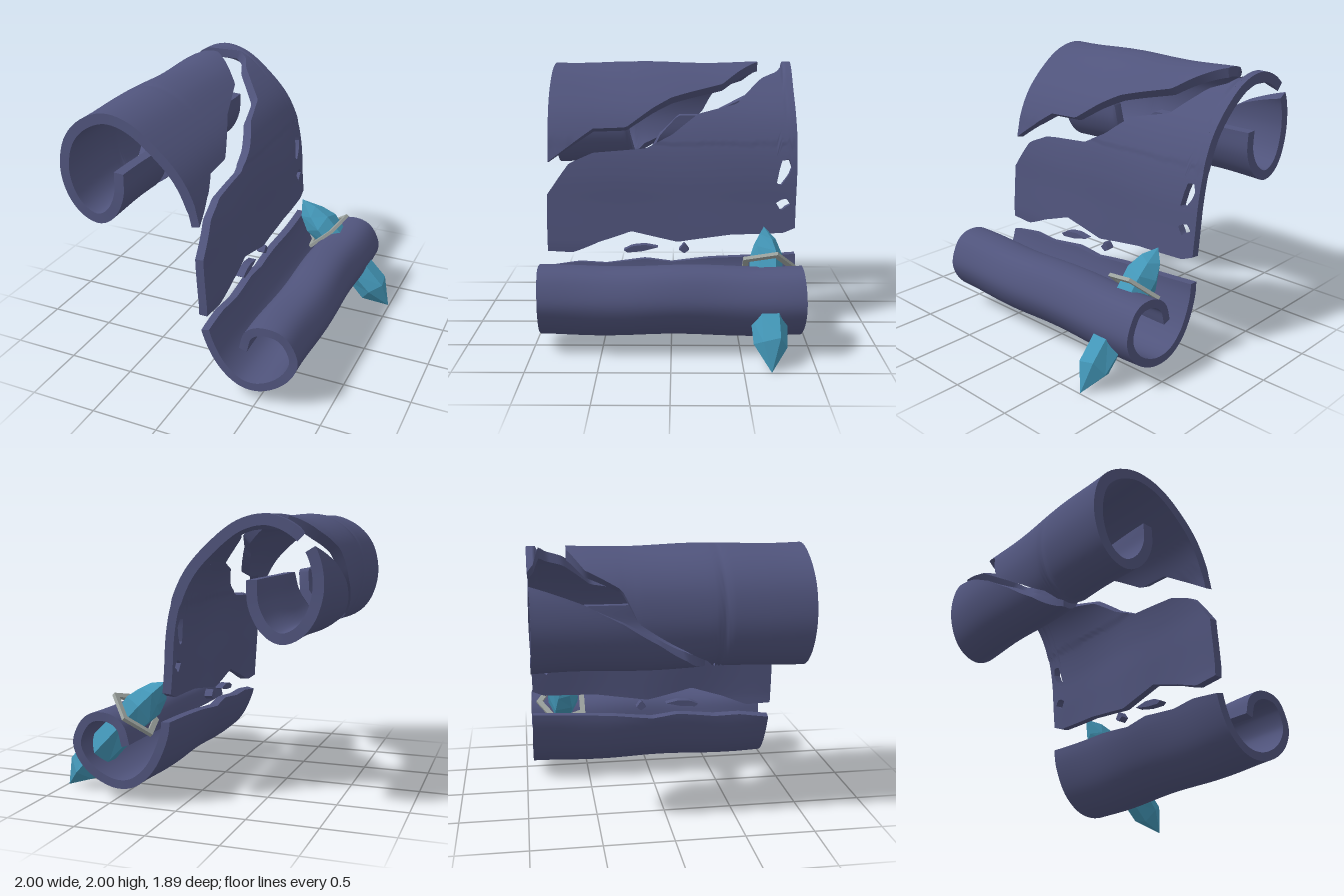
import * as THREE from 'three';
import { mergeGeometries } from 'three/addons/utils/BufferGeometryUtils.js';

const paper = new THREE.MeshStandardMaterial({ color: 0x50547c });
const gem = new THREE.MeshStandardMaterial({ color: 0x4397b8, flatShading: true });
const metal = new THREE.MeshStandardMaterial({ color: 0x9ca39f, flatShading: true });

// S-shaped cross-section of the sheet, from the upper inner end to the lower inner end
const profile = [
  [-.52, 1.58], [-.53, 1.42], [-.60, 1.28], [-.71, 1.21], [-.83, 1.25], [-.92, 1.37], [-.96, 1.55],
  [-.92, 1.75], [-.80, 1.89], [-.62, 1.96], [-.43, 1.92], [-.25, 1.79], [-.09, 1.62], [.01, 1.42],
  [.06, 1.2], [.08, .95], [.10, .7], [.11, .5], [.20, .28], [.33, .15], [.47, .12], [.61, .17],
  [.72, .27], [.77, .4], [.72, .53], [.64, .59], [.52, .59], [.43, .53], [.39, .41],
].map(([x, y]) => new THREE.Vector3(x, y, 0));
const curve = new THREE.CatmullRomCurve3(profile, false, 'catmullrom', 0.5);
const LAST = profile.length - 1;

// Point on the sheet: s counts profile points, off is the distance from the mid surface
function sheetPoint(s, z, off) {
  const t = THREE.MathUtils.clamp(s / LAST, 0, 1);
  const p = curve.getPoint(t), d = curve.getTangent(t);
  const o = off + 0.007 * Math.sin(6 * z + 0.7 * s);
  return new THREE.Vector3(p.x - d.y * o, p.y + d.x * o, z + 0.006 * Math.sin(1.3 * s));
}

// Tear line: piecewise linear s over z, from [z, s] pairs with rising z
function tear(pairs) {
  return z => {
    let i = 1;
    while (i < pairs.length - 1 && z > pairs[i][0]) i++;
    const [z0, s0] = pairs[i - 1], [z1, s1] = pairs[i];
    return THREE.MathUtils.lerp(s0, s1, THREE.MathUtils.clamp((z - z0) / (z1 - z0), 0, 1));
  };
}

// Grid of faces looking along dU x dV
function patch(nu, nv, fn) {
  const pos = [], idx = [], w = nv + 1;
  for (let i = 0; i <= nu; i++) {
    for (let j = 0; j <= nv; j++) {
      pos.push(...fn(i / nu, j / nv).toArray());
      if (i < nu && j < nv) {
        const a = i * w + j, b = a + w;
        idx.push(a, b, a + 1, b, b + 1, a + 1);
      }
    }
  }
  const g = new THREE.BufferGeometry();
  g.setAttribute('position', new THREE.Float32BufferAttribute(pos, 3));
  g.setIndex(idx);
  g.computeVertexNormals();
  return g;
}

// Thick piece of the sheet between two tear lines
function slab(name, z0, z1, lo, hi, cols = 48) {
  const rows = Math.max(6, Math.round((z1 - z0) / 0.026));
  const P = (u, v, k) => {
    const z = THREE.MathUtils.lerp(z0, z1, u);
    const s = THREE.MathUtils.lerp(lo(z), hi(z), v);
    return sheetPoint(s, z, k * (s < 13 ? 0.037 : 0.031));
  };
  const g = mergeGeometries([
    patch(rows, cols, (u, v) => P(u, v, 1)),
    patch(rows, cols, (u, v) => P(u, 1 - v, -1)),
    patch(rows, 1, (u, w) => P(u, 0, 2 * w - 1)),
    patch(rows, 1, (u, w) => P(u, 1, 1 - 2 * w)),
    patch(cols, 1, (v, w) => P(1, v, 2 * w - 1)),
    patch(cols, 1, (v, w) => P(0, v, 1 - 2 * w)),
  ]);
  const m = new THREE.Mesh(g, paper);
  m.name = name;
  return m;
}

export function createModel() {
  const model = new THREE.Group();
  const start = () => 0, end = () => LAST;

  // Upper roll, torn diagonally on both sides
  model.add(slab('upperRoll', -.68, .94,
    tear([[-.68, 8.7], [-.58, 7.7], [-.35, 7], [-.25, 6], [.05, 5], [.25, 4.2], [.3, 3.4], [.34, 1], [.37, 0]]),
    tear([[-.68, 9.3], [-.55, 10], [-.4, 10.75], [0, 11.4], [.15, 11.8], [.35, 12.45], [.6, 12.5], [.94, 13.6]]), 64));

  // Rear remnant of the upper coil
  model.add(slab('rearCoil', -.94, .25,
    tear([[-.05, 0], [.1, 1], [.25, 3]]),
    tear([[-.94, 7.2], [-.6, 6.6], [-.35, 6], [-.1, 5.2], [.1, 4.3], [.25, 3.1]])));

  // Middle sheet, split into strips around its two holes
  const top = tear([[-.94, 7.7], [-.885, 8.1], [-.865, 9.8], [-.82, 10.2], [-.7, 10.5], [-.5, 11.6], [-.2, 12],
    [0, 12.7], [.2, 13.15], [.6, 13.3], [.78, 13.65], [.94, 14.6]]);
  const bottom = tear([[-.94, 15.6], [-.85, 15.75], [-.45, 15.8], [-.2, 15.95], [-.05, 16.05], [.3, 15.7],
    [.55, 16.05], [.75, 16.45], [.94, 16.4]]);
  const bigTop = tear([[-.9, 13.75], [-.88, 13.5], [-.82, 13.55], [-.79, 14.25]]);
  const bigLow = tear([[-.9, 13.75], [-.88, 14], [-.82, 14.35], [-.79, 14.25]]);
  const smallTop = tear([[-.9, 14.9], [-.87, 14.72], [-.83, 14.75], [-.79, 14.85]]);
  const smallLow = tear([[-.9, 14.9], [-.87, 14.95], [-.83, 15.1], [-.79, 14.85]]);
  const middle = new THREE.Group();
  middle.name = 'middleSheet';
  middle.add(
    slab('sheetBackEdge', -.94, -.9, top, bottom),
    slab('sheetAboveHoles', -.9, -.79, top, bigTop),
    slab('sheetBetweenHoles', -.9, -.79, bigLow, smallTop, 8),
    slab('sheetBelowHoles', -.9, -.79, smallLow, bottom, 8),
    slab('sheetMain', -.79, .94, top, bottom),
  );
  model.add(middle);

  // Lower roll with its ragged upper edge
  model.add(slab('lowerRoll', -.94, .94,
    tear([[-.94, 16.5], [-.6, 16.6], [-.3, 16.68], [0, 16.85], [.2, 16.72], [.5, 16.9], [.7, 16.85], [.94, 17]]), end, 64));

  // Loose shards in the lower gap
  model.add(slab('longShard', .1, .36, tear([[.1, 16.25], [.2, 16.15], [.3, 16.2], [.36, 16.35]]),
    tear([[.1, 16.25], [.22, 16.4], [.34, 16.45], [.36, 16.35]]), 4));
  model.add(slab('smallShard', -.135, -.06, tear([[-.135, 16.35], [-.1, 16.1], [-.06, 16.35]]),
    tear([[-.135, 16.35], [-.1, 16.5], [-.06, 16.35]]), 4));

  // Crystal piercing the lower roll, with a five-sided collar
  const pin = new THREE.Group();
  pin.name = 'crystalPin';
  pin.position.set(.2, .83, -.69);
  pin.quaternion.setFromUnitVectors(new THREE.Vector3(0, 1, 0), new THREE.Vector3(.69, -.72, 0).normalize());
  const outline = pts => pts.map(([r, y]) => new THREE.Vector2(r, y));
  const body = new THREE.LatheGeometry(outline([[0, 0], [.09, .13], [.135, .25], [.125, .42], [.13, .75], [.125, .95], [0, 1.145]]), 6);
  const pos = body.attributes.position;
  for (let i = 0; i < pos.count; i++) {
    const x = pos.getX(i), y = pos.getY(i), z = pos.getZ(i);
    if (Math.hypot(x, z) < .01) continue;
    const a = Math.atan2(z, x), k = 1 + .06 * Math.sin(2 * a + 7 * y);
    pos.setXYZ(i, x * k, y + .025 * Math.cos(3 * a + 1 + 5 * y), z * k * .95);
  }
  const crystal = new THREE.Mesh(body, gem);
  crystal.name = 'crystal';
  const h = .013;
  const collar = new THREE.Mesh(new THREE.LatheGeometry(
    outline([[.165, -h], [.215, -h], [.215, h], [.165, h], [.165, -h]]), 5, Math.PI), metal);
  collar.name = 'collar';
  collar.position.y = .335;
  pin.add(crystal, collar);
  model.add(pin);
  return model;
}
